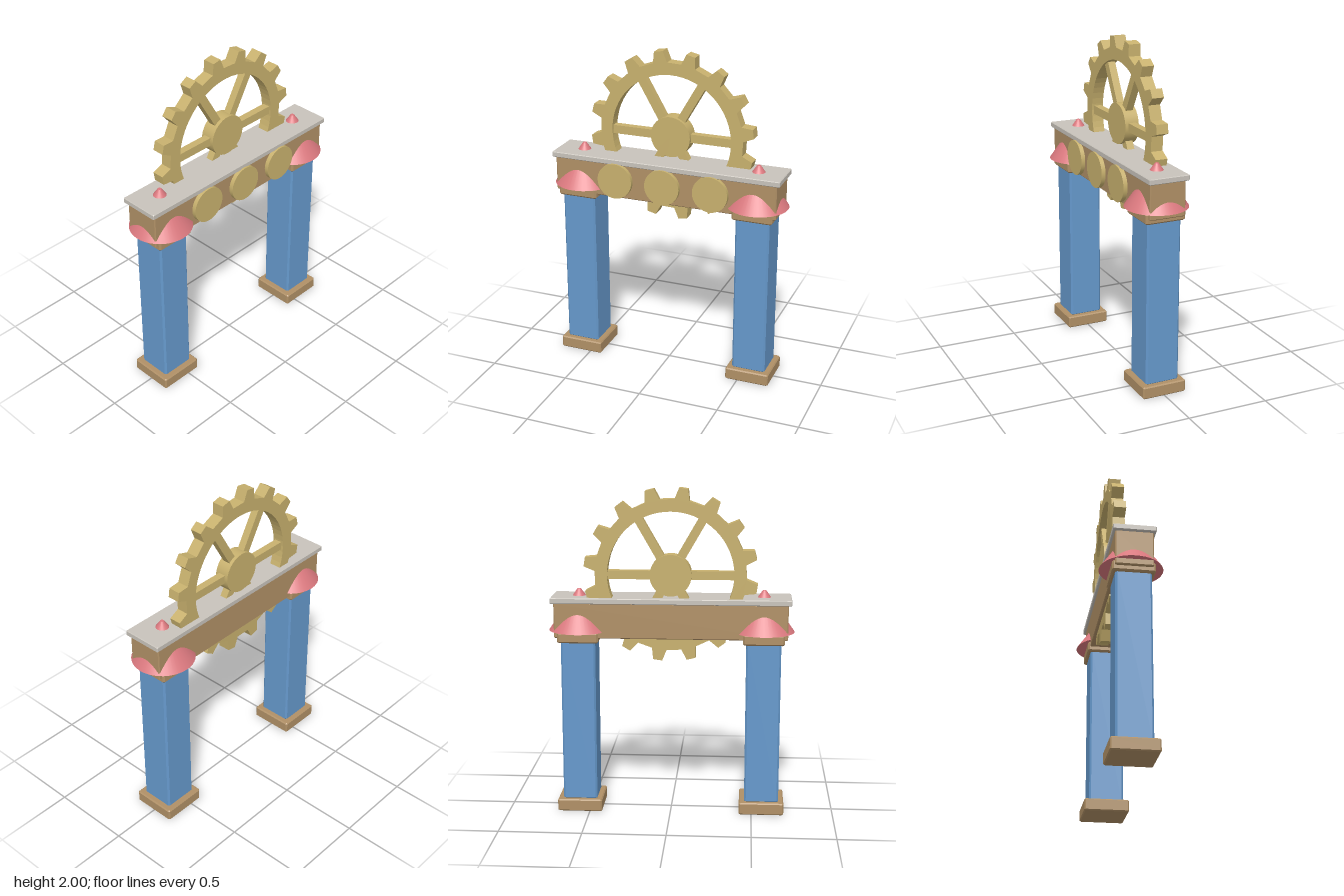
import * as THREE from 'three';

const mat = (name, color) => {
  const m = new THREE.MeshStandardMaterial({ color });
  m.name = name;
  return m;
};

// Box with every edge chamfered by c, standing on y0
function chamferBox(w, h, d, c) {
  const x = w / 2 - c, z = d / 2 - c, k = c * 0.6;
  const shape = new THREE.Shape([
    [x, -z + k], [x, z - k], [x - k, z], [-x + k, z],
    [-x, z - k], [-x, -z + k], [-x + k, -z], [x - k, -z],
  ].map(([a, b]) => new THREE.Vector2(a, b)));
  const g = new THREE.ExtrudeGeometry(shape, {
    depth: h - 2 * c, bevelEnabled: true, bevelSize: c, bevelThickness: c, bevelSegments: 1,
  });
  return g.translate(0, 0, c).rotateX(-Math.PI / 2);
}

// Toothed ring in the xy plane, centred on z = 0
function gearRing(teeth, tip, root, inner, depth, phase) {
  const pts = [];
  const step = (Math.PI * 2) / teeth;
  for (let i = 0; i < teeth; i++) {
    for (const [f, r] of [[-0.25, root], [-0.135, tip], [0.135, tip], [0.25, root]]) {
      const a = phase + (i + f) * step;
      pts.push(new THREE.Vector2(Math.cos(a) * r, Math.sin(a) * r));
    }
  }
  const shape = new THREE.Shape(pts);
  shape.holes.push(new THREE.Path().absarc(0, 0, inner, 0, Math.PI * 2, true));
  return new THREE.ExtrudeGeometry(shape, { depth, bevelEnabled: false, curveSegments: 32 })
    .translate(0, 0, -depth / 2);
}

export function createModel() {
  const wood = mat('wood', 0xb09066);
  const blue = mat('blue', 0x6699cc);
  const stone = mat('stone', 0xc8c3bb);
  const brass = mat('brass', 0xc8b16e);
  const red = mat('red', 0xdb797f);

  const model = new THREE.Group();
  model.name = 'gearArch';
  const add = (parent, name, geometry, material, x = 0, y = 0, z = 0) => {
    const mesh = new THREE.Mesh(geometry, material);
    mesh.name = name;
    mesh.position.set(x, y, z);
    parent.add(mesh);
    return mesh;
  };

  // Pillars with base, capital and the cone that pierces the beam
  for (const [side, s] of [['left', 1], ['right', -1]]) {
    const pillar = new THREE.Group();
    pillar.name = side + 'Pillar';
    pillar.position.x = s * 0.561;
    model.add(pillar);
    add(pillar, 'base', chamferBox(0.275, 0.075, 0.275, 0.007), wood);
    add(pillar, 'shaft', chamferBox(0.21, 1.01, 0.21, 0.009), blue, 0, 0.07);
    add(pillar, 'capital', chamferBox(0.25, 0.065, 0.25, 0.009), wood, 0, 1.065);
    add(pillar, 'cone', new THREE.CylinderGeometry(0.011, 0.186, 0.252, 40), red, 0, 1.256);
  }

  // Cross beam and its top plate
  add(model, 'beam', chamferBox(1.41, 0.215, 0.222, 0.005), wood, 0, 1.095);
  add(model, 'topPlate', chamferBox(1.45, 0.034, 0.25, 0.004), stone, 0, 1.307);

  // Round medallions on the front of the beam
  for (const x of [-0.305, 0, 0.305]) {
    const disc = new THREE.CylinderGeometry(0.11, 0.11, 0.036, 40).rotateX(Math.PI / 2);
    add(model, 'medallion', disc, brass, x, 1.207, 0.119);
  }

  // Great gear, set through the beam
  const gear = new THREE.Group();
  gear.name = 'gear';
  gear.position.set(0, 1.48, -0.055);
  model.add(gear);
  add(gear, 'toothedRing', gearRing(16, 0.522, 0.455, 0.38, 0.074, 0.15), brass);
  add(gear, 'hub', new THREE.CylinderGeometry(0.125, 0.125, 0.088, 40).rotateX(Math.PI / 2), brass);
  for (let i = 0; i < 6; i++) {
    const spoke = new THREE.BoxGeometry(0.32, 0.052, 0.046).translate(0.25, 0, 0);
    add(gear, 'spoke', spoke, brass).rotation.z = (i * Math.PI) / 3;
  }

  return model;
}
